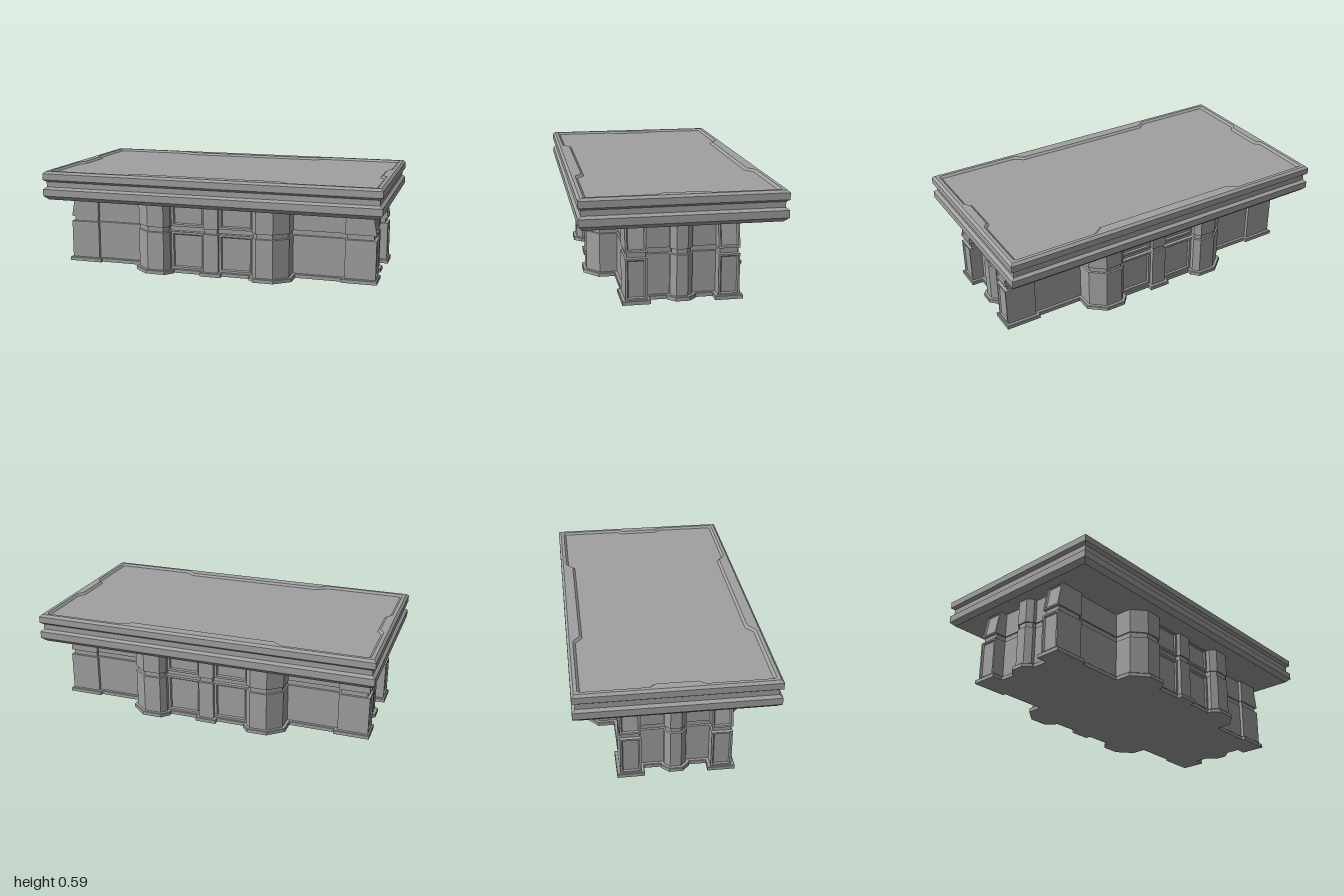
import * as THREE from 'three';

const material = new THREE.MeshStandardMaterial({ color: 0xa1a1a1 });

// Mirror a quarter outline (running from +x to +z) into a closed loop of [x, z]
function mirrorQuarter(q) {
  const r = [...q].reverse();
  return [
    ...q,
    ...r.map(([x, z]) => [-x, z]),
    ...q.map(([x, z]) => [-x, -z]),
    ...r.map(([x, z]) => [x, -z]),
  ];
}

// Grow (d > 0) or shrink (d < 0) a loop with mitred corners
function offset(loop, d) {
  const n = loop.length;
  const normal = (a, b) => {
    const dx = b[0] - a[0], dz = b[1] - a[1], l = Math.hypot(dx, dz);
    return [dz / l, -dx / l];
  };
  return loop.map((p, i) => {
    const n1 = normal(loop[(i + n - 1) % n], p);
    const n2 = normal(p, loop[(i + 1) % n]);
    const k = d / (1 + n1[0] * n2[0] + n1[1] * n2[1]);
    return [p[0] + (n1[0] + n2[0]) * k, p[1] + (n1[1] + n2[1]) * k];
  });
}

// Faces joining a series of equal-length loops, each { loop, y }
function walls(out, rings) {
  for (let r = 0; r + 1 < rings.length; r++) {
    const A = rings[r], B = rings[r + 1], n = A.loop.length;
    for (let i = 0; i < n; i++) {
      const j = (i + 1) % n;
      const a = [A.loop[i][0], A.y, A.loop[i][1]], b = [A.loop[j][0], A.y, A.loop[j][1]];
      const c = [B.loop[i][0], B.y, B.loop[i][1]], d = [B.loop[j][0], B.y, B.loop[j][1]];
      out.push(...a, ...c, ...b, ...b, ...c, ...d);
    }
  }
}

// Horizontal face, optionally with a hole, facing up or down
function cap(out, loop, y, up, hole) {
  const toVec = (l) => l.map(([x, z]) => new THREE.Vector2(x, z));
  const contour = toVec(loop), holes = hole ? [toVec(hole)] : [];
  const pts = [...contour, ...holes.flat()];
  for (const f of THREE.ShapeUtils.triangulateShape(contour, holes)) {
    let [a, b, c] = f.map((i) => pts[i]);
    const facesUp = (b.x - a.x) * (c.y - a.y) - (b.y - a.y) * (c.x - a.x) < 0;
    if (facesUp !== up) [b, c] = [c, b];
    for (const p of [a, b, c]) out.push(p.x, y, p.y);
  }
}

function meshFrom(name, positions) {
  const g = new THREE.BufferGeometry();
  g.setAttribute('position', new THREE.Float32BufferAttribute(positions, 3));
  g.computeVertexNormals();
  const m = new THREE.Mesh(g, material);
  m.name = name;
  return m;
}

function solid(name, rings) {
  const out = [];
  walls(out, rings);
  cap(out, rings[0].loop, rings[0].y, false);
  const top = rings[rings.length - 1];
  cap(out, top.loop, top.y, true);
  return meshFrom(name, out);
}

// Upright frame facing +z, standing on its lower edge, with a bevelled opening
function frame(name, w, h, border, depth, topBorder = border) {
  const rect = (x, low, high) => [[x, -low], [-x, -low], [-x, -high], [x, -high]];
  const outer = rect(w / 2, 0, h);
  const opening = rect(w / 2 - border, border, h - topBorder);
  const out = [];
  walls(out, [
    { loop: outer, y: 0 }, { loop: outer, y: depth },
    { loop: opening, y: depth }, { loop: offset(opening, -0.006), y: 0 },
  ]);
  const m = meshFrom(name, out);
  m.geometry.rotateX(Math.PI / 2);
  return m;
}

export function createModel() {
  const model = new THREE.Group();

  // Pedestal plan: side pilaster, corner post, recessed wall, bay pilaster, centre pilaster
  const plan = mirrorQuarter([
    [0.92, 0.03], [0.89, 0.06], [0.87, 0.06], [0.87, 0.19],
    [0.935, 0.19], [0.935, 0.305], [0.765, 0.305], [0.765, 0.285],
    [0.46, 0.285], [0.46, 0.385], [0.38, 0.453], [0.28, 0.453],
    [0.25, 0.42], [0.25, 0.387], [0.045, 0.387], [0.045, 0.42],
  ]);
  const groove = offset(plan, -0.008);
  // Post ends lean inwards towards the top
  const lean = 0.027;
  const leaning = plan.map(([x, z]) =>
    Math.abs(x) > 0.925 ? [x - Math.sign(x) * lean, z] : [x, z]);

  const footing = offset(plan, 0.018);
  model.add(solid('basePlate', [
    { loop: footing, y: 0 }, { loop: footing, y: 0.02 }, { loop: offset(plan, 0.015), y: 0.023 },
  ]));
  model.add(solid('pedestal', [
    { loop: plan, y: 0.02 }, { loop: plan, y: 0.249 },
    { loop: groove, y: 0.252 }, { loop: groove, y: 0.28 },
    { loop: plan, y: 0.28 }, { loop: leaning, y: 0.424 },
  ]));

  // Panel frames on the bays and on the ends of the corner posts
  const tilt = Math.atan(lean / 0.144);
  for (const sx of [1, -1]) {
    for (const sz of [1, -1]) {
      const bayAngle = sz > 0 ? 0 : Math.PI;
      const lower = frame('lowerBayFrame', 0.205, 0.227, 0.013, 0.009);
      lower.position.set(sx * 0.1475, 0.022, sz * 0.387);
      lower.rotation.y = bayAngle;
      const upper = frame('upperBayFrame', 0.205, 0.142, 0.013, 0.009, 0.005);
      upper.position.set(sx * 0.1475, 0.28, sz * 0.387);
      upper.rotation.y = bayAngle;

      const postLower = frame('lowerPostFrame', 0.115, 0.227, 0.01, 0.008);
      postLower.position.set(sx * 0.935, 0.022, sz * 0.2475);
      postLower.rotation.y = sx * Math.PI / 2;
      const postUpper = frame('upperPostFrame', 0.115, 0.144, 0.01, 0.008, 0.002);
      postUpper.position.set(sx * 0.935, 0.28, sz * 0.2475);
      postUpper.rotation.set(-tilt, sx * Math.PI / 2, 0, 'YXZ');
      model.add(lower, upper, postLower, postUpper);
    }
  }

  // Tabletop: grooved edge, raised rim and sunken notched surface
  const rect = (inset) => mirrorQuarter([[1 - inset, 0.549 - inset]]);
  const edge = [
    [0.025, 0.422], [0, 0.446], [0, 0.486], [0.017, 0.499],
    [0.017, 0.53], [0, 0.543], [0, 0.58], [0.014, 0.593],
  ].map(([inset, y]) => ({ loop: rect(inset), y }));
  const inner = mirrorQuarter([
    [0.94, 0.11], [0.967, 0.145], [0.967, 0.506], [0.957, 0.516],
    [0.475, 0.516], [0.425, 0.477],
  ]);
  const floor = offset(inner, -0.014);
  const top = [];
  cap(top, edge[0].loop, 0.422, false);
  walls(top, edge);
  cap(top, edge[7].loop, 0.593, true, inner);
  walls(top, [{ loop: inner, y: 0.593 }, { loop: floor, y: 0.581 }]);
  cap(top, floor, 0.581, true);
  model.add(meshFrom('tabletop', top));

  return model;
}
